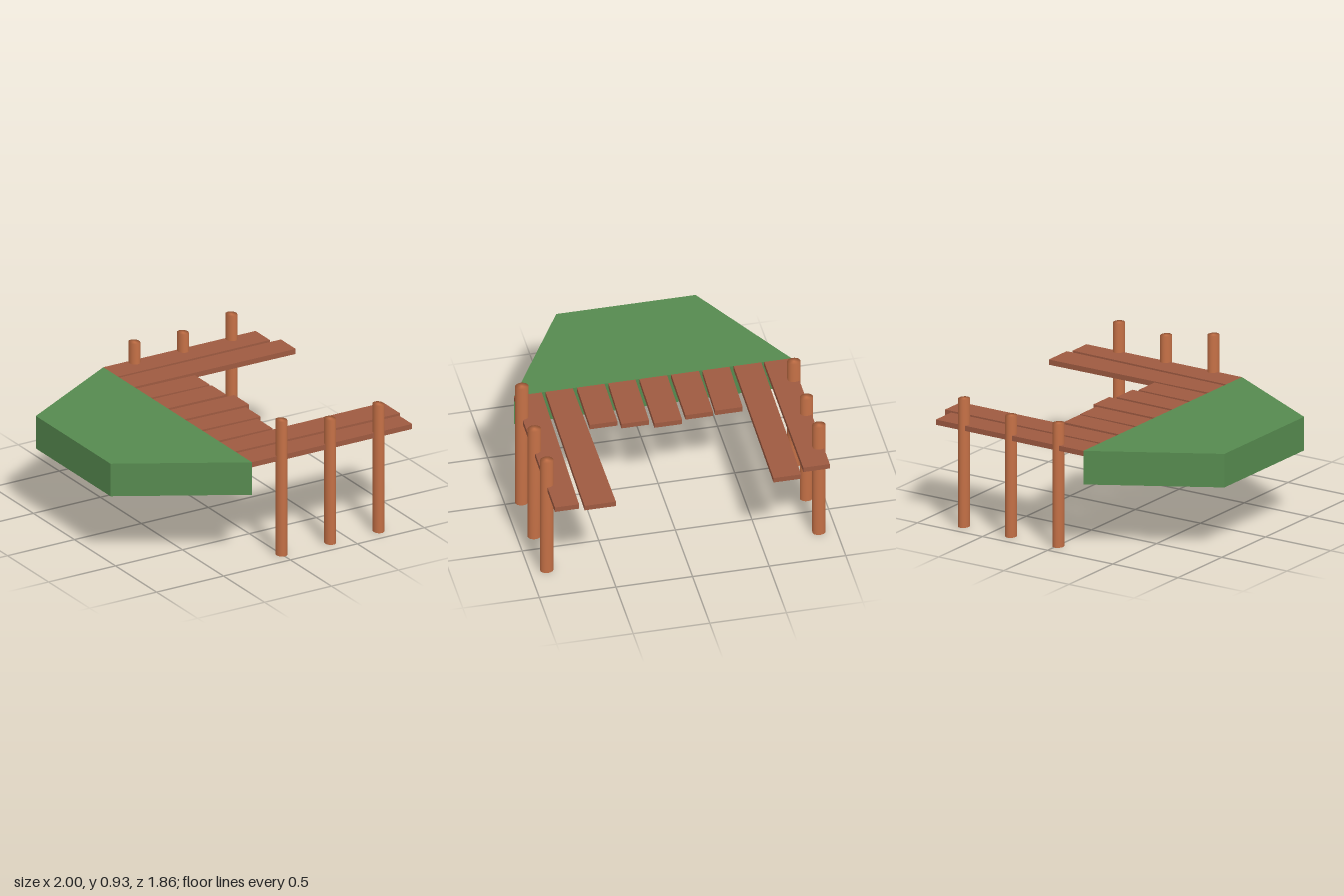
import * as THREE from 'three';
import { mergeVertices } from 'three/addons/utils/BufferGeometryUtils.js';

const DECK_TOP = 0.685;
const SHORE_X = -0.22;

// Flat slab from an outline of [x, z] points, hanging down from the deck level
function slab(name, outline, thickness, material) {
  const shape = new THREE.Shape(outline.map(([x, z]) => new THREE.Vector2(x, z)));
  const geometry = new THREE.ExtrudeGeometry(shape, { depth: thickness, bevelEnabled: false });
  geometry.rotateX(Math.PI / 2);
  geometry.translate(0, DECK_TOP, 0);
  const mesh = new THREE.Mesh(geometry, material);
  mesh.name = name;
  return mesh;
}

// Slightly oval post with normals rounded over its ends
function post(name, x, z, height, material) {
  let geometry = new THREE.CylinderGeometry(1, 1, height, 20);
  geometry.scale(0.036, 1, 0.043);
  geometry.deleteAttribute('uv');
  geometry.deleteAttribute('normal');
  geometry = mergeVertices(geometry);
  geometry.computeVertexNormals();
  const mesh = new THREE.Mesh(geometry, material);
  mesh.name = name;
  mesh.position.set(x, height / 2, z);
  return mesh;
}

export function createModel() {
  const grass = new THREE.MeshStandardMaterial({ color: 0x568a4f });
  grass.name = 'grass green';
  const plankWood = new THREE.MeshStandardMaterial({ color: 0x9e5a41 });
  plankWood.name = 'plank brown';
  const postWood = new THREE.MeshStandardMaterial({ color: 0xc47046 });
  postWood.name = 'post brown';

  const model = new THREE.Group();
  model.name = 'dock';

  // Grassy bank
  model.add(slab('bank', [[-1, -0.47], [SHORE_X, -0.92], [SHORE_X, 0.89], [-1, 0.44]], 0.225, grass));

  // Planks: z range at the shore, end x, z range at the end
  const planks = new THREE.Group();
  planks.name = 'planks';
  [
    [-0.92, -0.742, 0.915, -0.915, -0.742],
    [-0.723, -0.543, 0.98, -0.713, -0.533],
    [-0.515, -0.338, 0.21, -0.505, -0.325],
    [-0.315, -0.135, 0.215, -0.31, -0.13],
    [-0.108, 0.072, 0.255, -0.1, 0.082],
    [0.098, 0.275, 0.215, 0.108, 0.288],
    [0.3, 0.48, 0.18, 0.307, 0.487],
    [0.508, 0.685, 1.0, 0.5, 0.705],
    [0.71, 0.89, 0.975, 0.735, 0.893],
  ].forEach(([z0, z1, endX, z2, z3], i) => {
    planks.add(slab(`plank${i + 1}`, [[SHORE_X, z0], [endX, z2], [endX, z3], [SHORE_X, z1]], 0.035, plankWood));
  });
  model.add(planks);

  // Posts along both outer edges: x, height
  const posts = new THREE.Group();
  posts.name = 'posts';
  const rows = [
    ['frontPost', 0.89, [[0, 0.93], [0.363, 0.86], [0.725, 0.88]]],
    ['backPost', -0.888, [[-0.008, 0.825], [0.355, 0.81], [0.717, 0.857]]],
  ];
  for (const [name, z, row] of rows) {
    row.forEach(([x, height], i) => posts.add(post(`${name}${i + 1}`, x, z, height, postWood)));
  }
  model.add(posts);

  return model;
}
